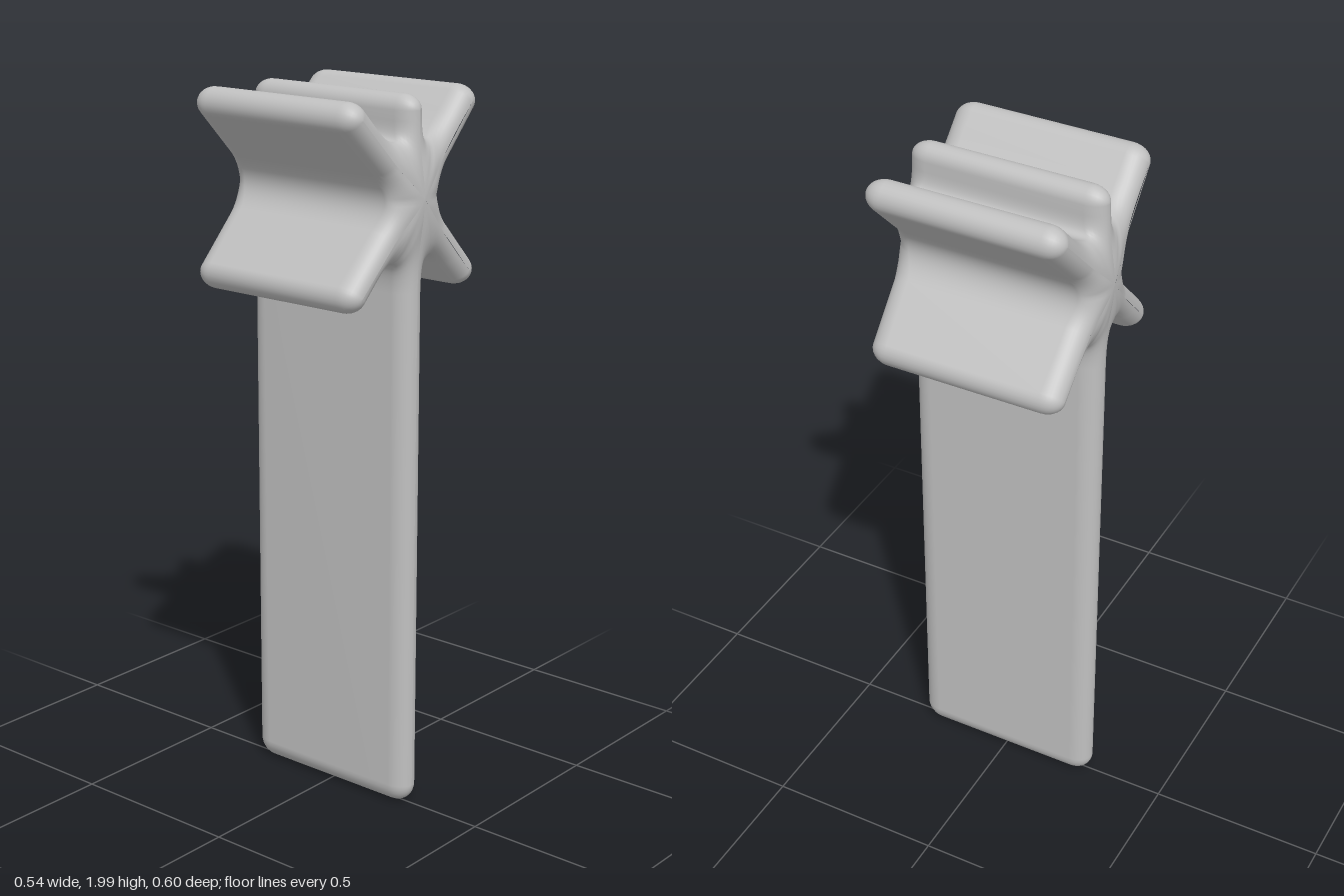
import * as THREE from 'three';

const HUB_Y = 1.73;      // height where all blades meet
const ROUND_Z = 0.055;   // depth of the rounded front and back edges

// Blades in counter-clockwise order: direction, length to the start of the tip,
// half thickness, tip length, and where the fillet starts on each side.
const BLADES = [
  { deg: 45, len: 0.32, half: 0.0435, tip: 0.0435, before: 0.144, after: 0.25 },
  { deg: 90, len: 0.228, half: 0.037, tip: 0.04, before: 0.2, after: 0.2 },
  { deg: 135, len: 0.32, half: 0.0435, tip: 0.0435, before: 0.25, after: 0.144 },
  { deg: 225, len: 0.32, half: 0.0435, tip: 0.0435, before: 0.144, after: 0.25 },
  { deg: 270, len: 1.67, half: 0.0425, tip: 0.055, before: 0.25, after: 0.25 },
  { deg: 315, len: 0.32, half: 0.0435, tip: 0.0435, before: 0.25, after: 0.144 },
];

// Point at distance s along a blade and w to its left
function onBlade(b, s, w) {
  const a = THREE.MathUtils.degToRad(b.deg);
  return new THREE.Vector2(s * Math.cos(a) - w * Math.sin(a), s * Math.sin(a) + w * Math.cos(a));
}

// Where the facing sides of two neighbouring blades cross
function sideCrossing(a, b) {
  const gap = THREE.MathUtils.degToRad((b.deg - a.deg + 360) % 360);
  return onBlade(a, (b.half + a.half * Math.cos(gap)) / Math.sin(gap), a.half);
}

// Outline of the section, each point paired with its point on the blade axes
function buildOutline() {
  const outline = [];
  const TIP = 12, FILLET = 16;
  BLADES.forEach((b, i) => {
    const next = BLADES[(i + 1) % BLADES.length];
    // rounded tip
    const end = onBlade(b, b.len, 0);
    for (let k = 0; k <= TIP; k++) {
      const t = -Math.PI / 2 + (Math.PI * k) / TIP;
      outline.push({ p: onBlade(b, b.len + b.tip * Math.cos(t), b.half * Math.sin(t)), axis: end });
    }
    // fillet into the next blade
    const curve = new THREE.QuadraticBezierCurve(
      onBlade(b, b.after, b.half), sideCrossing(b, next), onBlade(next, next.before, -next.half));
    for (let k = 0; k <= FILLET; k++) {
      const u = k / FILLET;
      const axis = u < 0.5 ? onBlade(b, b.after * (1 - 2 * u), 0) : onBlade(next, next.before * (2 * u - 1), 0);
      outline.push({ p: curve.getPoint(u), axis });
    }
  });
  return outline;
}

// Sweep the section along z, closing in on the blade axes at both ends
function buildBody() {
  const outline = buildOutline();
  const n = outline.length;
  const STEPS = 8;
  const rings = [];
  for (let k = 0; k <= STEPS; k++) rings.push({ side: -1, t: (Math.PI / 2) * (1 - k / STEPS) });
  for (let k = 0; k <= STEPS; k++) rings.push({ side: 1, t: (Math.PI / 2) * (k / STEPS) });

  const positions = [];
  const index = [];
  rings.forEach(({ side, t }, r) => {
    outline.forEach(({ p, axis }, i) => {
      const q = axis.clone().lerp(p, Math.cos(t));
      // the hub bulges slightly past the blades
      const reach = 0.277 + 0.021 * Math.exp(-axis.lengthSq() / 0.014);
      const z = side * (reach - ROUND_Z * (1 - Math.sin(t)));
      positions.push(q.x, q.y + HUB_Y, z);
      if (r < rings.length - 1) {
        const a = r * n + i, b = r * n + ((i + 1) % n);
        index.push(a, b, b + n, a, b + n, a + n);
      }
    });
  });
  const geometry = new THREE.BufferGeometry();
  geometry.setAttribute('position', new THREE.Float32BufferAttribute(positions, 3));
  geometry.setIndex(index);
  geometry.computeVertexNormals();
  return geometry;
}

export function createModel() {
  const model = new THREE.Group();
  model.name = 'bladedPost';
  const grey = new THREE.MeshStandardMaterial({ color: 0xc0c0c0 });
  grey.name = 'plain grey';
  const body = new THREE.Mesh(buildBody(), grey);
  body.name = 'postWithStarHead';
  model.add(body);
  return model;
}
